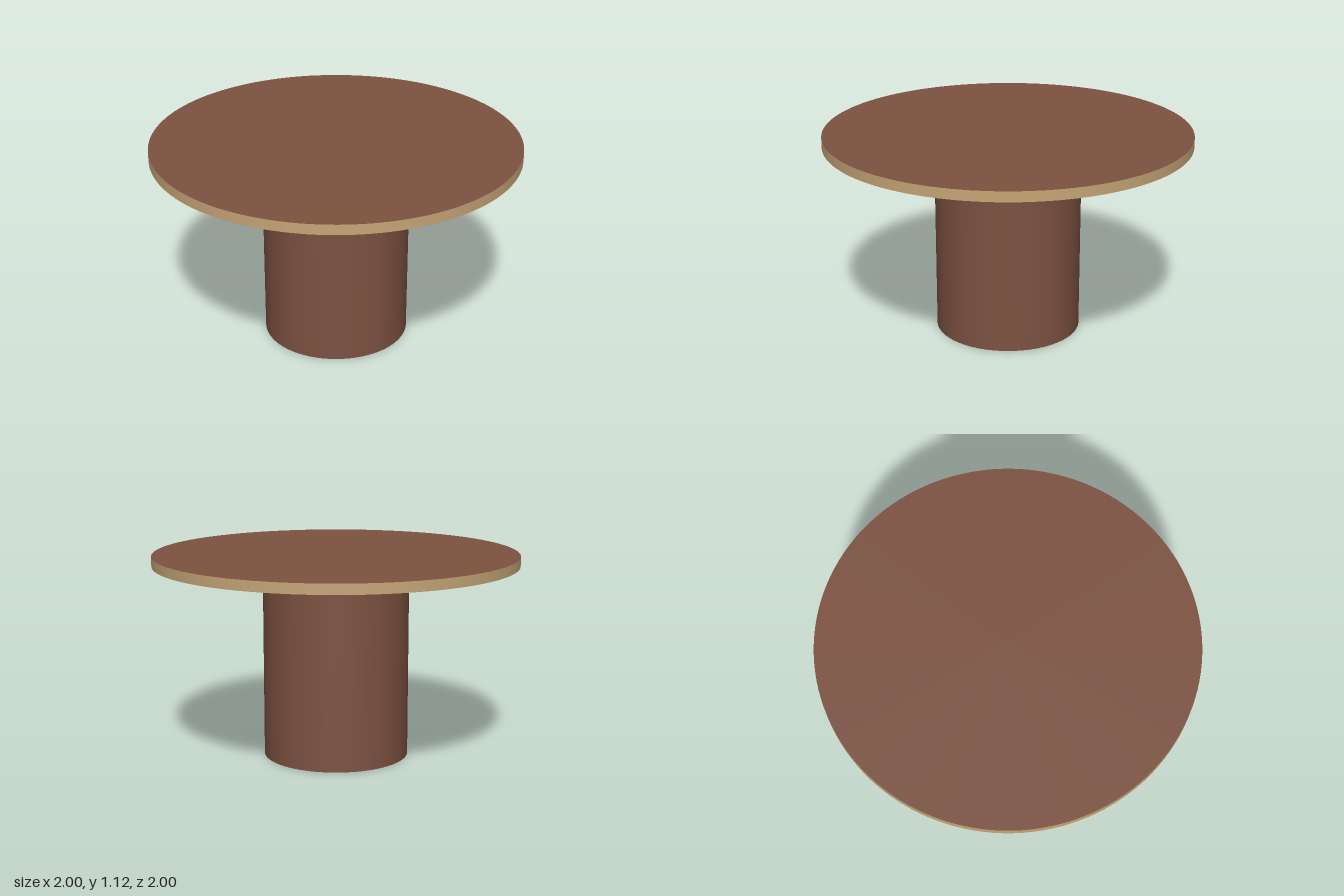
import * as THREE from 'three';

export function createModel() {
  const brown = new THREE.MeshStandardMaterial({ name: 'brown wood', color: 0x7d5241 });
  const tan = new THREE.MeshStandardMaterial({ name: 'tan wood', color: 0xc6a676 });

  const table = new THREE.Group();
  table.name = 'roundTable';

  // Upright disc with a smooth side and sharp rims; materials go side, top, bottom
  const addDisc = (name, radius, y0, y1, materials) => {
    const geometry = new THREE.CylinderGeometry(radius, radius, y1 - y0, 128);
    const mesh = new THREE.Mesh(geometry, materials);
    mesh.name = name;
    mesh.position.y = (y0 + y1) / 2;
    table.add(mesh);
  };

  // Thick round pedestal
  addDisc('pedestal', 0.4, 0, 1.075, brown);

  // Tabletop: brown upper face, tan edge and underside
  addDisc('tabletop', 1, 1.07, 1.125, [tan, brown, tan]);

  return table;
}
